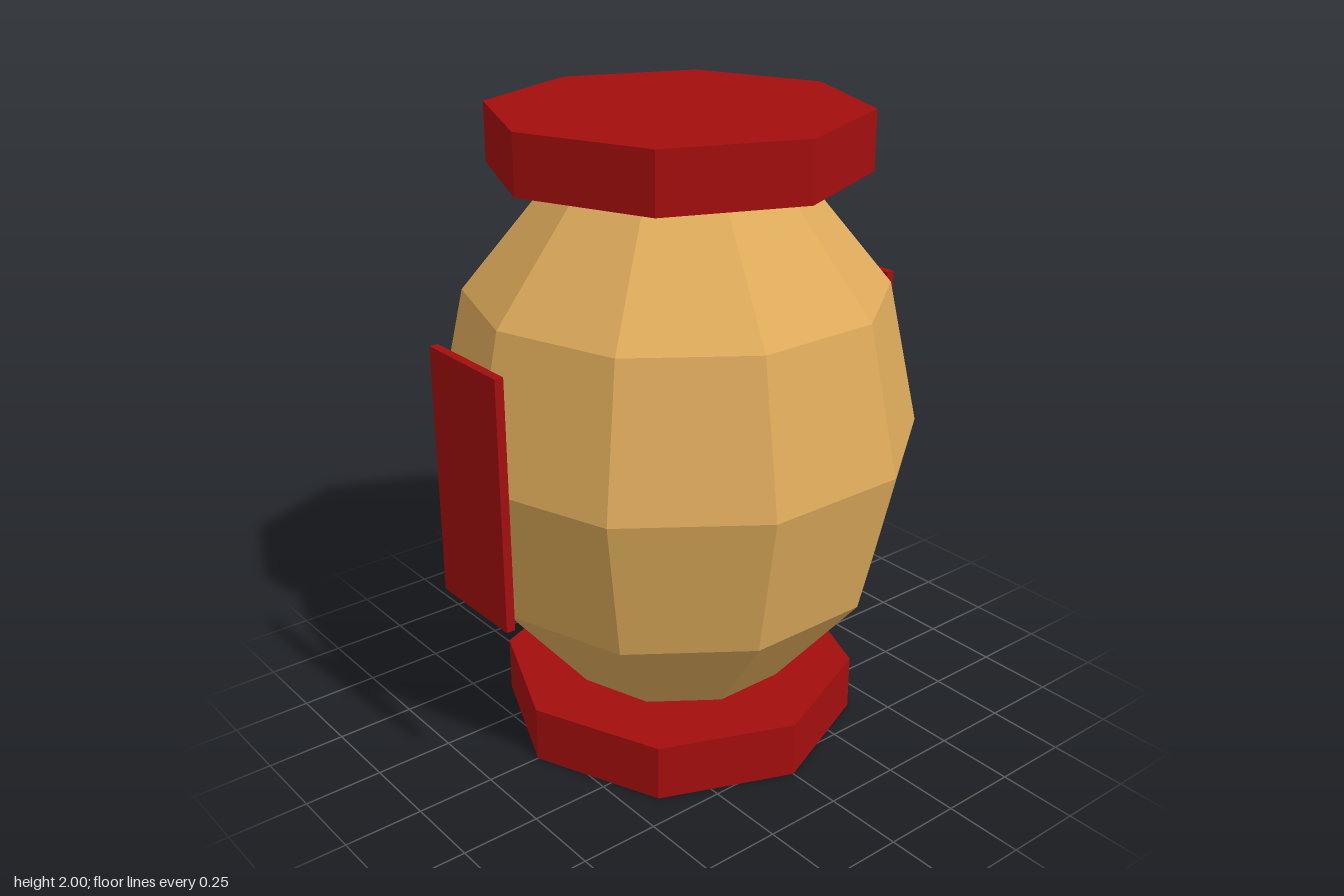
import * as THREE from 'three';

export function createModel() {
  const model = new THREE.Group();
  const gold = new THREE.MeshStandardMaterial({ color: 0xdeab5b, flatShading: true });
  gold.name = 'warm gold';
  const red = new THREE.MeshStandardMaterial({ color: 0xa30e0e, flatShading: true });
  red.name = 'deep red';

  const add = (name, geometry, material, x, y, z) => {
    const mesh = new THREE.Mesh(geometry, material);
    mesh.name = name;
    mesh.position.set(x, y, z);
    model.add(mesh);
  };

  // Ten-sided lantern body, stretched upward, with a corner facing the front
  const body = new THREE.SphereGeometry(0.75, 10, 6);
  body.rotateY(Math.PI / 2).scale(1, 0.91 / 0.75, 1);
  add('lanternBody', body, gold, 0, 1, 0);

  // Octagonal caps at both ends
  const cap = new THREE.CylinderGeometry(0.572, 0.572, 0.18, 8);
  add('bottomCap', cap, red, 0, 0.09, 0);
  add('topCap', cap, red, 0, 1.91, 0);

  // Upright panels on the front and back
  const panel = new THREE.BoxGeometry(0.336, 0.78, 0.028);
  add('frontPanel', panel, red, 0, 1, 0.754);
  add('backPanel', panel, red, 0, 1, -0.754);

  return model;
}
